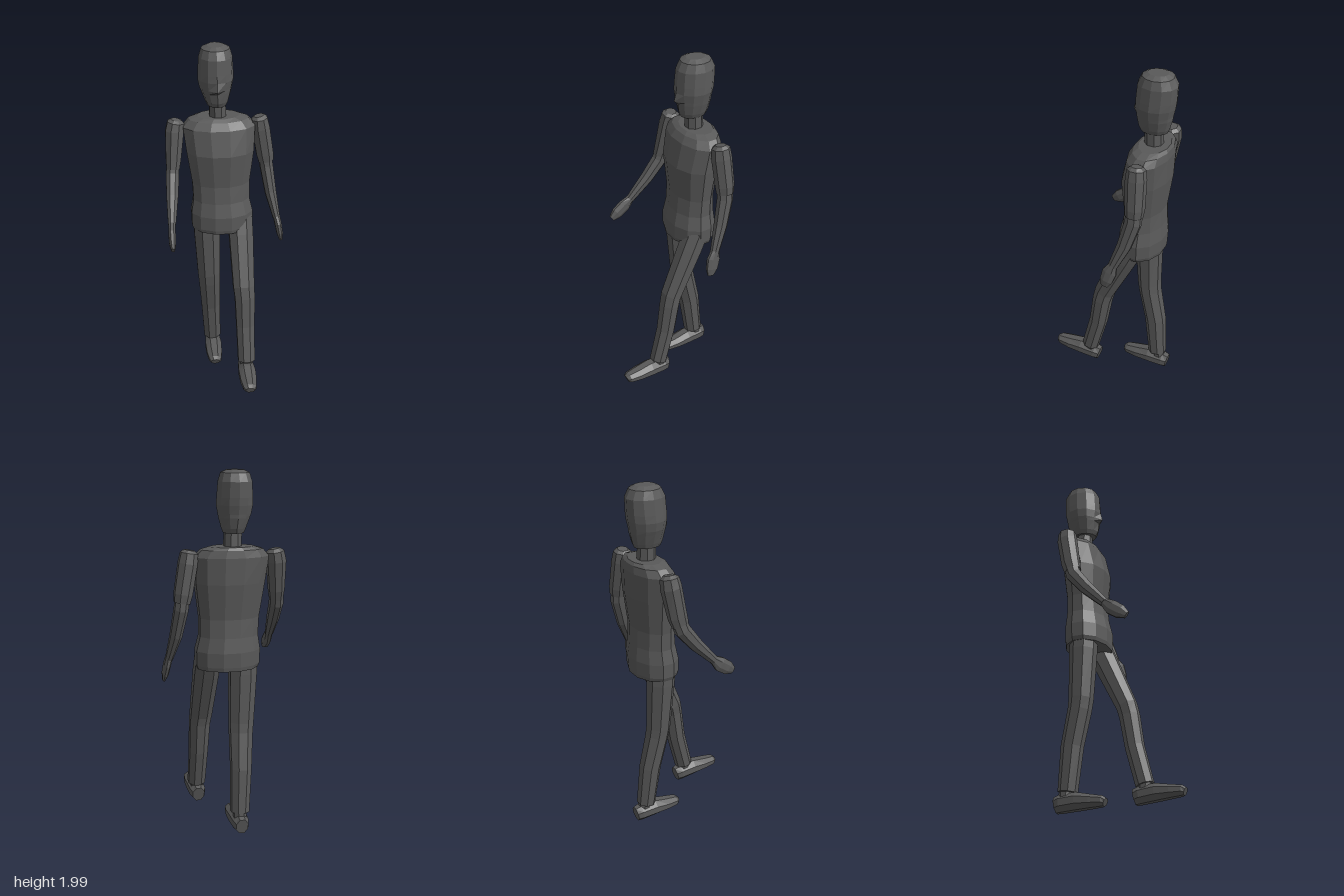
import * as THREE from 'three';

// Faceted loft. Each section: [x, y, z, half width, half depth, push of the front corner].
// Rings stand square to the path, or stay level when level is true.
function loft(name, material, sections, { sides = 8, level = false, corner = false } = {}) {
  const centres = sections.map(s => new THREE.Vector3(s[0], s[1], s[2]));
  const last = sections.length - 1;
  const grow = corner ? 1 : 1 / Math.cos(Math.PI / sides);
  const pos = [], index = [];
  sections.forEach((s, i) => {
    const t = level
      ? new THREE.Vector3(0, -1, 0)
      : centres[Math.min(i + 1, last)].clone().sub(centres[Math.max(i - 1, 0)]).normalize();
    const u = new THREE.Vector3(1, 0, 0).addScaledVector(t, -t.x).normalize();
    const v = t.clone().cross(u);
    for (let j = 0; j < sides; j++) {
      const a = (j + (corner ? 0 : 0.5)) / sides * Math.PI * 2;
      const push = j === sides / 4 ? (s[5] || 0) : 0;
      const p = centres[i].clone()
        .addScaledVector(u, Math.cos(a) * s[3] * grow)
        .addScaledVector(v, Math.sin(a) * s[4] * grow + push);
      pos.push(p.x, p.y, p.z);
    }
  });
  const first = pos.length / 3;
  for (const c of [centres[0], centres[last]]) pos.push(c.x, c.y, c.z);
  for (let j = 0; j < sides; j++) {
    const k = (j + 1) % sides;
    for (let i = 0; i < last; i++) {
      const a = i * sides + j, b = i * sides + k;
      index.push(a, b, b + sides, a, b + sides, a + sides);
    }
    index.push(first, k, j, first + 1, last * sides + j, last * sides + k);
  }
  const indexed = new THREE.BufferGeometry();
  indexed.setAttribute('position', new THREE.Float32BufferAttribute(pos, 3));
  indexed.setIndex(index);
  const geometry = indexed.toNonIndexed();
  geometry.computeVertexNormals();
  const mesh = new THREE.Mesh(geometry, material);
  mesh.name = name;
  return mesh;
}

export function createModel() {
  const grey = new THREE.MeshStandardMaterial({ color: 0x595959 });
  grey.name = 'dark grey';
  const model = new THREE.Group();
  model.name = 'walkingFigure';
  const add = (name, sections, options) => model.add(loft(name, grey, sections, options));

  // Head with a slight nose and chin, and neck
  add('head', [
    [-0.045, 2.0, -0.22, 0.045, 0.055],
    [-0.045, 1.985, -0.22, 0.078, 0.085],
    [-0.045, 1.94, -0.22, 0.092, 0.108],
    [-0.045, 1.86, -0.215, 0.097, 0.11],
    [-0.045, 1.82, -0.212, 0.099, 0.108, 0.003],
    [-0.045, 1.775, -0.21, 0.09, 0.1, 0.022],
    [-0.043, 1.755, -0.21, 0.084, 0.098, 0],
    [-0.04, 1.7, -0.208, 0.066, 0.086, 0.004],
    [-0.04, 1.675, -0.208, 0.055, 0.075],
  ], { sides: 12, level: true, corner: true });
  add('neck', [
    [-0.038, 1.72, -0.208, 0.044, 0.046],
    [-0.034, 1.57, -0.212, 0.046, 0.048],
  ], { level: true });

  // Torso
  add('torso', [
    [-0.03, 1.605, -0.22, 0.115, 0.078],
    [-0.03, 1.59, -0.215, 0.165, 0.095],
    [-0.03, 1.55, -0.205, 0.2, 0.11],
    [-0.025, 1.41, -0.187, 0.188, 0.125],
    [-0.022, 1.22, -0.183, 0.162, 0.105],
    [-0.02, 1.12, -0.18, 0.16, 0.112],
    [-0.017, 1.04, -0.175, 0.176, 0.126],
    [-0.017, 0.96, -0.173, 0.174, 0.124],
    [-0.017, 0.938, -0.173, 0.165, 0.12],
  ], { sides: 12, level: true });

  // Right arm, swung forward
  add('rightUpperArm', [
    [-0.265, 1.585, -0.215, 0.028, 0.028],
    [-0.268, 1.57, -0.215, 0.046, 0.047],
    [-0.276, 1.52, -0.21, 0.051, 0.053],
    [-0.288, 1.36, -0.18, 0.042, 0.05],
    [-0.292, 1.31, -0.165, 0.036, 0.045],
  ]);
  add('rightForearm', [
    [-0.29, 1.35, -0.18, 0.034, 0.04],
    [-0.296, 1.28, -0.155, 0.037, 0.042],
    [-0.303, 1.18, -0.075, 0.033, 0.036],
    [-0.313, 1.065, 0.035, 0.022, 0.024],
  ]);
  add('rightHand', [
    [-0.313, 1.07, 0.03, 0.019, 0.022],
    [-0.316, 1.03, 0.075, 0.02, 0.04],
    [-0.316, 0.995, 0.125, 0.019, 0.038],
    [-0.315, 0.97, 0.162, 0.01, 0.02],
  ]);

  // Left arm, hanging slightly back
  add('leftUpperArm', [
    [0.197, 1.59, -0.222, 0.028, 0.028],
    [0.2, 1.575, -0.222, 0.044, 0.047],
    [0.208, 1.52, -0.224, 0.05, 0.053],
    [0.235, 1.36, -0.232, 0.048, 0.05],
    [0.242, 1.315, -0.232, 0.042, 0.045],
  ]);
  add('leftForearm', [
    [0.236, 1.35, -0.232, 0.036, 0.04],
    [0.246, 1.28, -0.23, 0.037, 0.044],
    [0.268, 1.13, -0.19, 0.032, 0.038],
    [0.298, 0.99, -0.135, 0.02, 0.026],
  ]);
  add('leftHand', [
    [0.298, 1.0, -0.138, 0.019, 0.024],
    [0.307, 0.955, -0.122, 0.019, 0.04],
    [0.316, 0.9, -0.107, 0.017, 0.036],
    [0.322, 0.862, -0.096, 0.008, 0.02],
  ]);

  // Trouser legs: the left one steps forward
  add('leftLeg', [
    [0.088, 1.0, -0.16, 0.068, 0.07],
    [0.089, 0.9, -0.115, 0.069, 0.068],
    [0.093, 0.62, 0.012, 0.061, 0.056],
    [0.098, 0.56, 0.027, 0.058, 0.054],
    [0.1, 0.38, 0.055, 0.053, 0.05],
    [0.102, 0.165, 0.11, 0.049, 0.048],
  ]);
  add('rightLeg', [
    [-0.105, 1.0, -0.168, 0.074, 0.072],
    [-0.105, 0.9, -0.172, 0.074, 0.072],
    [-0.095, 0.62, -0.184, 0.066, 0.063],
    [-0.092, 0.56, -0.192, 0.063, 0.061],
    [-0.083, 0.36, -0.235, 0.056, 0.058],
    [-0.072, 0.115, -0.26, 0.05, 0.05],
  ]);

  // Shoes, from heel to toe: x, height of the sole at the heel, heel z, rise of the toe
  for (const [side, x, y, z, rise] of [['left', 0.1, 0.058, 0.052, 0.03], ['right', -0.07, 0.008, -0.328, 0.016]]) {
    const at = (d, w, h) => [x, y + rise * d / 0.28 + h, z + d, w, h];
    add(side + 'Shoe', [
      at(0, 0.034, 0.043),
      at(0.03, 0.044, 0.047),
      at(0.12, 0.05, 0.047),
      at(0.2, 0.047, 0.036),
      at(0.265, 0.037, 0.028),
      at(0.28, 0.026, 0.021),
    ]);
    add(side + 'Ankle', [
      [x, y + 0.16, z + 0.06, 0.034, 0.034],
      [x, y + 0.06, z + 0.055, 0.036, 0.036],
    ], { level: true });
  }
  return model;
}
